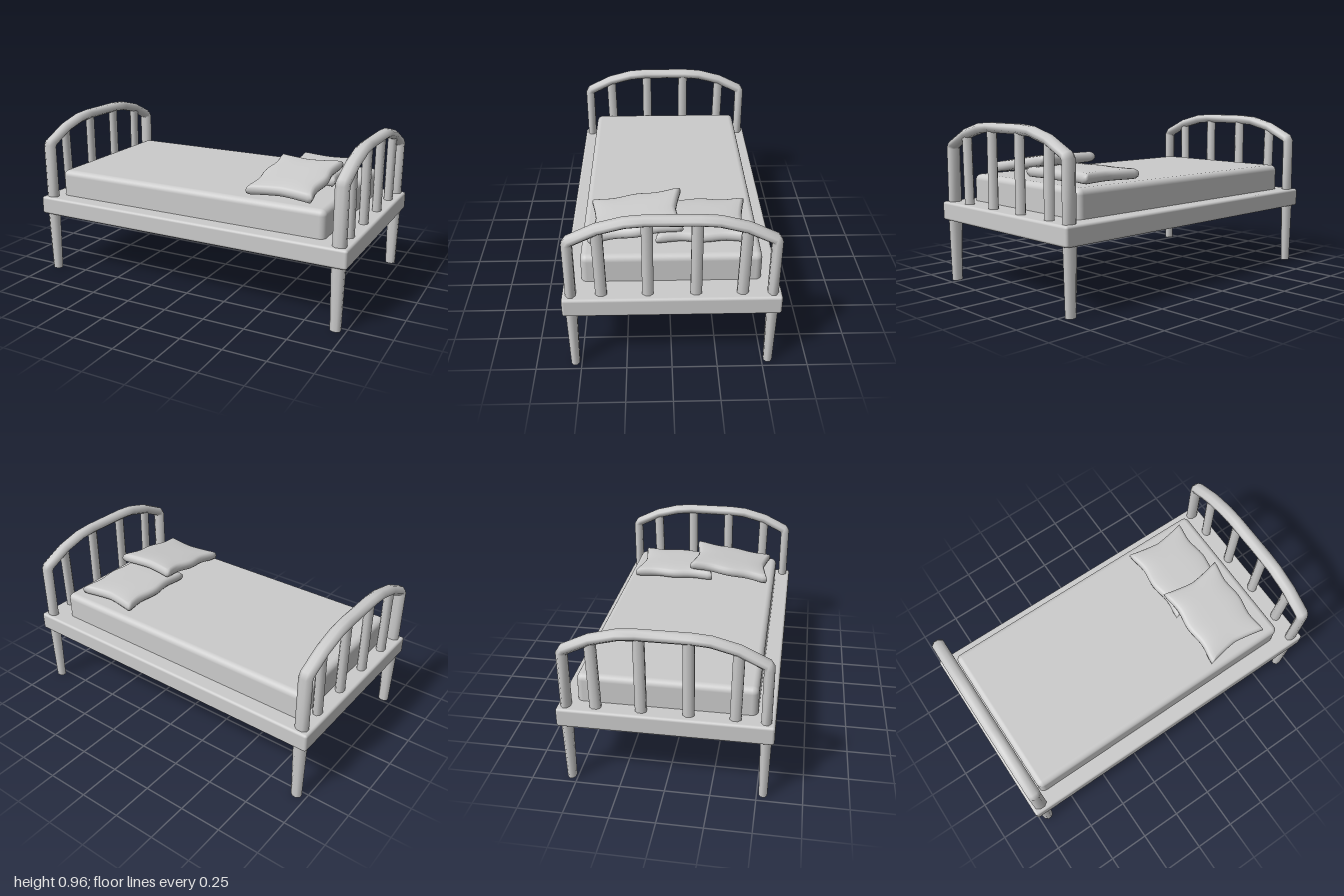
import * as THREE from 'three';
import { mergeVertices } from 'three/addons/utils/BufferGeometryUtils.js';
import { RoundedBoxGeometry } from 'three/addons/geometries/RoundedBoxGeometry.js';

const material = new THREE.MeshStandardMaterial({ color: 0xcccccc });

function add(parent, name, geometry, x = 0, y = 0, z = 0) {
  const mesh = new THREE.Mesh(geometry, material);
  mesh.name = name;
  mesh.position.set(x, y, z);
  parent.add(mesh);
  return mesh;
}

// Eight-sided bar with flats facing x and z; widths are measured across the flats
function bar(widthX, widthZ, height, taper = 1) {
  const r = 0.5 / Math.cos(Math.PI / 8);
  return new THREE.CylinderGeometry(r, r * taper, height, 8)
    .rotateY(Math.PI / 8).scale(widthX, 1, widthZ);
}

// Octagonal section swept along a path of [z, y] points with mitred joints
function sweep(path, halfX, halfIn) {
  const pts = path.map(([z, y]) => new THREE.Vector2(z, y));
  const sides = 8, pos = [], index = [];
  const k = 1 / Math.cos(Math.PI / sides);
  pts.forEach((p, i) => {
    const a = pts[Math.max(i - 1, 0)], b = pts[Math.min(i + 1, pts.length - 1)];
    const d1 = (i ? p.clone().sub(a) : b.clone().sub(p)).normalize();
    const d2 = (i < pts.length - 1 ? b.clone().sub(p) : d1.clone()).normalize();
    const t = d1.clone().add(d2).normalize();
    const mitre = 1 / t.dot(d1);
    for (let j = 0; j < sides; j++) {
      const ang = (j + 0.5) / sides * Math.PI * 2;
      const off = Math.sin(ang) * halfIn * k * mitre;
      pos.push(Math.cos(ang) * halfX * k, p.y - t.x * off, p.x + t.y * off);
      if (i) {
        const n = (j + 1) % sides, c = i * sides, q = c - sides;
        index.push(q + j, c + j, q + n, q + n, c + j, c + n);
      }
    }
  });
  const g = new THREE.BufferGeometry();
  g.setAttribute('position', new THREE.Float32BufferAttribute(pos, 3));
  g.setIndex(index);
  g.computeVertexNormals();
  return g;
}

// Cushion: a box with rounded rim, pinched edges and pointed corners
function pillowGeometry(hx, hy, hz) {
  let g = new THREE.BoxGeometry(2, 2, 2, 16, 6, 16);
  g.deleteAttribute('normal');
  g.deleteAttribute('uv');
  g = mergeVertices(g);
  const p = g.attributes.position;
  for (let i = 0; i < p.count; i++) {
    const u = p.getX(i), v = p.getZ(i), w = Math.sin(p.getY(i) * Math.PI / 2);
    const inset = 0.025 * (1 - Math.sqrt(Math.max(0, 1 - w * w)));
    const wave = 0.015 * Math.sin(Math.PI * v) ** 2;
    const pinch = 0.033 * (1 - Math.abs(u) ** 1.3);
    const puff = 0.8 + 0.2 * (1 - u ** 4) * (1 - v ** 4);
    p.setXYZ(i, u * (hx - wave - inset), w * hy * puff, v * (hz - pinch - inset));
  }
  g.computeVertexNormals();
  return g;
}

export function createModel() {
  const bed = new THREE.Group();
  bed.name = 'bed';

  // Base and mattress
  add(bed, 'bedBase', new RoundedBoxGeometry(2, 0.11, 1.16, 3, 0.015), 0, 0.425, 0);
  add(bed, 'mattress', new RoundedBoxGeometry(1.74, 0.2, 0.97, 4, 0.035), -0.03, 0.54, 0);

  // Tapered legs
  for (const x of [-0.942, 0.942]) {
    for (const z of [-0.535, 0.535]) {
      add(bed, 'leg', bar(0.075, 0.06, 0.38, 0.78), x, 0.19, z);
    }
  }

  // Arched end frames with four upright slats each
  const half = [[0.5325, 0.45], [0.5325, 0.8], [0.52, 0.82], [0.38, 0.888], [0.24, 0.925], [0.14, 0.933]];
  const arch = [...half, ...half.map(([z, y]) => [-z, y]).reverse()];
  for (const [name, x] of [['footboard', -0.942], ['headboard', 0.942]]) {
    const end = new THREE.Group();
    end.name = name;
    end.position.x = x;
    bed.add(end);
    add(end, 'archedRail', sweep(arch, 0.037, 0.0275));
    for (const [z, top] of [[0.376, 0.88], [0.127, 0.92]]) {
      for (const s of [-1, 1]) {
        const slat = add(end, 'slat', bar(0.05, 0.06, top - 0.46), 0, (top + 0.46) / 2, s * z);
        if (z > 0.3) slat.rotation.x = s * 0.02;
      }
    }
  }

  // Two pillows, one leaning on the other
  const pillow = pillowGeometry(0.195, 0.037, 0.258);
  add(bed, 'lowerPillow', pillow, 0.55, 0.676, -0.174);
  add(bed, 'upperPillow', pillow, 0.55, 0.713, 0.19).rotation.x = 0.15;

  return bed;
}
